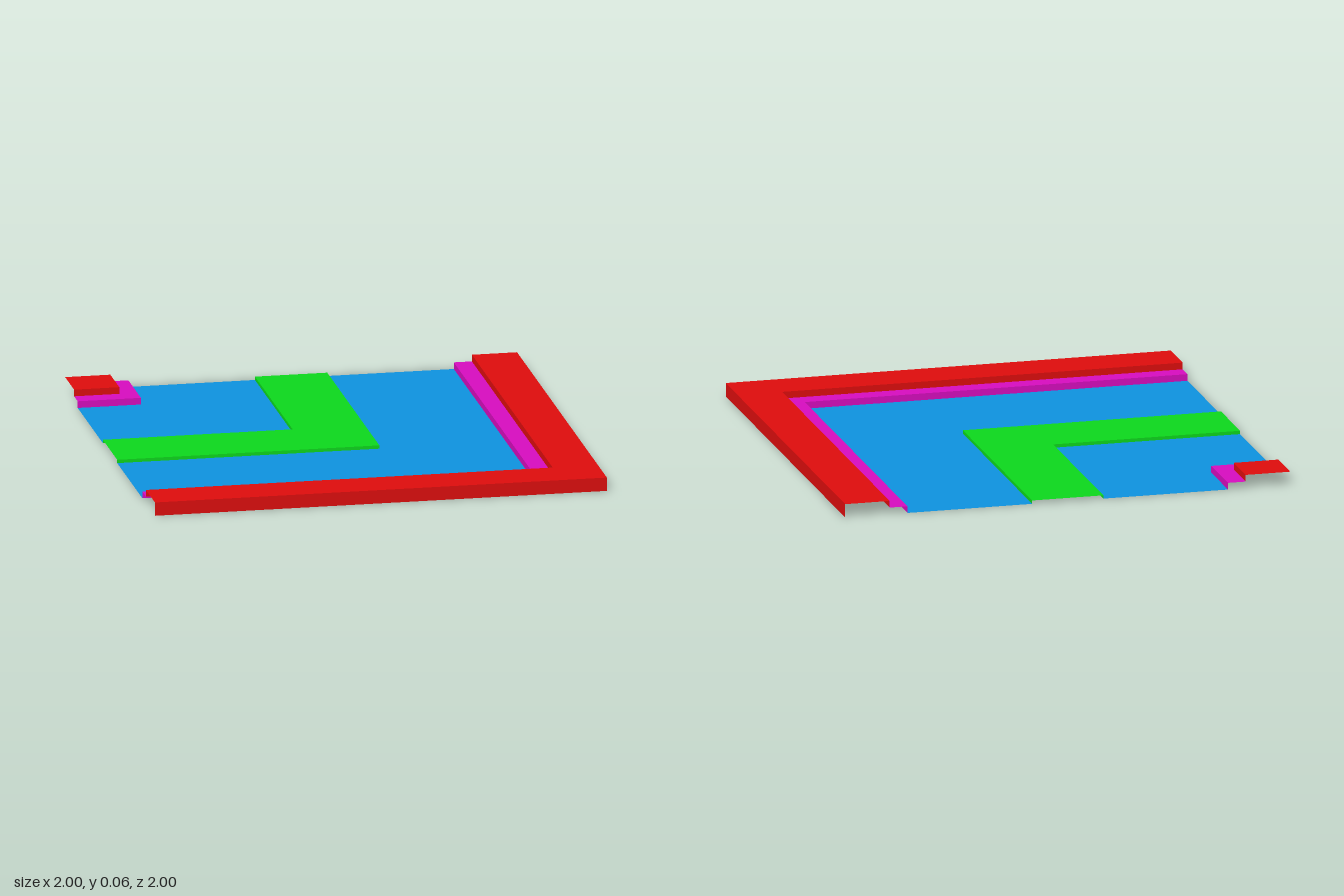
import * as THREE from 'three';

// Sweeps a stepped profile of [distance, height] points around the corner as a mitred L.
function cornerBand(name, color, profile) {
  const path = ([d, y]) => [[-1, y, d], [d, y, d], [d, y, -1]];
  const positions = [];
  for (let i = 0; i < profile.length - 1; i++) {
    const inner = path(profile[i]);
    const outer = path(profile[i + 1]);
    for (let j = 0; j < 2; j++) {
      const [a, b, c, d] = [inner[j], outer[j], outer[j + 1], inner[j + 1]];
      positions.push(...a, ...b, ...c, ...a, ...c, ...d);
    }
  }
  const geometry = new THREE.BufferGeometry();
  geometry.setAttribute('position', new THREE.Float32BufferAttribute(positions, 3));
  geometry.computeVertexNormals();
  const material = new THREE.MeshStandardMaterial({ color, side: THREE.DoubleSide });
  const mesh = new THREE.Mesh(geometry, material);
  mesh.name = name;
  return mesh;
}

export function createModel() {
  const group = new THREE.Group();
  group.name = 'roadCorner';

  const red = 0xdd0d0d, pink = 0xd60dbe, blue = 0x0e92de, green = 0x0dd71c;
  const kerb = 0.06, gutter = 0.03, line = 0.015, road = 0;

  group.add(
    // raised kerb and gutter inside the bend
    cornerBand('innerKerb', red, [[-1, kerb], [-0.8, kerb], [-0.8, gutter]]),
    cornerBand('innerGutter', pink, [[-0.8, gutter], [-0.72, gutter], [-0.72, road]]),
    // two lanes with a raised centre line between them
    cornerBand('innerLane', blue, [[-0.72, road], [-0.16, road]]),
    cornerBand('centreLine', green, [[-0.16, road], [-0.16, line], [0.16, line], [0.16, road]]),
    cornerBand('outerLane', blue, [[0.16, road], [0.72, road]]),
    // gutter and kerb around the outside, with the outer wall
    cornerBand('outerGutter', pink, [[0.72, road], [0.72, gutter], [0.8, gutter]]),
    cornerBand('outerKerb', red, [[0.8, gutter], [0.8, kerb], [1, kerb], [1, road]])
  );
  return group;
}
